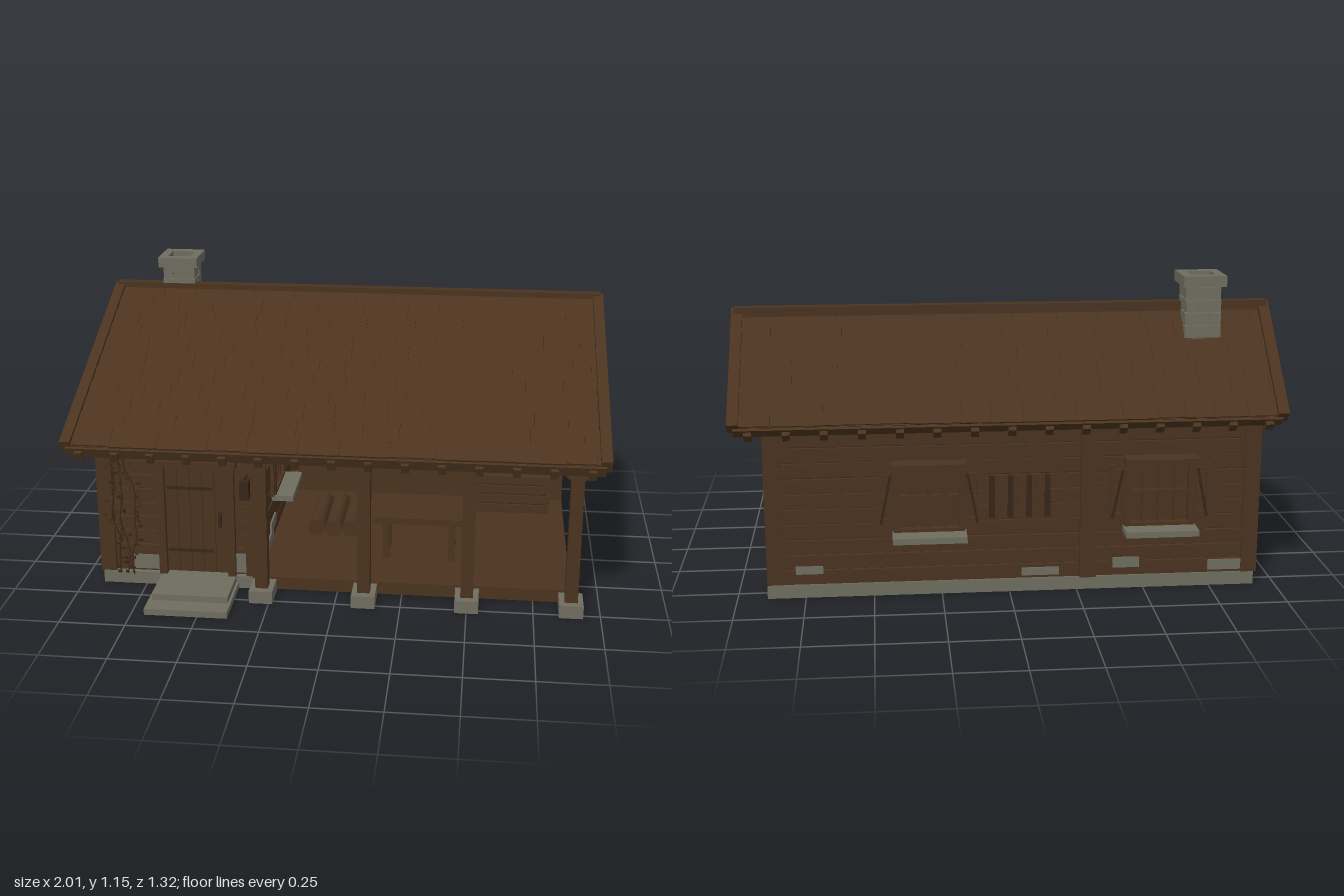
import * as THREE from 'three';

const mat = (name, color) => {
  const m = new THREE.MeshStandardMaterial({ color });
  m.name = name;
  return m;
};
const wood = mat('wood', 0x4b331f);
const dark = mat('darkWood', 0x38261a);
const stone = mat('stone', 0x6f6d5f);

let seed = 7;
const rnd = () => (seed = (seed * 16807) % 2147483647) / 2147483647;

// Box by its min and max corners
function box(parent, name, m, x0, x1, y0, y1, z0, z1) {
  const mesh = new THREE.Mesh(new THREE.BoxGeometry(x1 - x0, y1 - y0, z1 - z0), m);
  mesh.position.set((x0 + x1) / 2, (y0 + y1) / 2, (z0 + z1) / 2);
  mesh.name = name;
  parent.add(mesh);
  return mesh;
}

function group(parent, name, x = 0, y = 0, z = 0, ry = 0) {
  const g = new THREE.Group();
  g.name = name;
  g.position.set(x, y, z);
  g.rotation.y = ry;
  parent.add(g);
  return g;
}

// Plank wall facing local +z, centred on local x; planks leave out each opening [x0, x1, y0, y1]
function plankWall(parent, name, len, x, z, ry, openings = []) {
  const g = group(parent, name, x, 0, z, ry);
  box(g, 'wallCore', dark, -len / 2, len / 2, 0.05, 0.64, -0.03, 0);
  for (let i = 0; i < 10; i++) {
    const y = 0.05 + i * 0.058, out = 0.01 + rnd() * 0.006;
    let from = -len / 2;
    for (const [a, b, lo, hi] of openings) {
      if (y + 0.05 < lo || y > hi) continue;
      box(g, 'plank', wood, from, a, y, y + 0.052, 0, out);
      from = b;
    }
    box(g, 'plank', wood, from, len / 2, y, y + 0.052, 0, out);
  }
  return g;
}

// Window with bars, open shutters, lintel and stone sill, facing local +z
function addWindow(wall, x) {
  const g = group(wall, 'window', x, 0, 0);
  box(g, 'pane', wood, -0.115, 0.115, 0.25, 0.48, 0, 0.004);
  for (const s of [-1, 1]) {
    box(g, 'jamb', wood, s * 0.118 - 0.012, s * 0.118 + 0.012, 0.245, 0.485, 0, 0.03);
    const sh = group(g, 'shutter', s * 0.158, 0, 0.016);
    for (const e of [-1, 1]) box(sh, 'stile', wood, e * 0.02 - 0.006, e * 0.02 + 0.006, 0.26, 0.48, 0, 0.014);
    for (const y of [0.275, 0.36, 0.445]) box(sh, 'rail', wood, -0.026, 0.026, y, y + 0.02, 0, 0.012);
    const brace = box(sh, 'shutterBrace', dark, -0.005, 0.005, 0.275, 0.465, 0.008, 0.016);
    brace.rotation.z = s * 0.2;
  }
  for (const e of [-0.06, 0, 0.06]) box(g, 'bar', wood, e - 0.006, e + 0.006, 0.25, 0.48, 0.004, 0.02);
  box(g, 'crossBar', wood, -0.11, 0.11, 0.37, 0.382, 0.004, 0.022);
  box(g, 'lintel', wood, -0.135, 0.135, 0.485, 0.51, 0, 0.07);
  box(g, 'sillBoard', wood, -0.12, 0.12, 0.245, 0.258, 0, 0.03);
  box(g, 'sill', stone, -0.135, 0.135, 0.222, 0.245, 0, 0.1);
}

// One roof slope: local z runs down from the ridge
function roofSlope(parent, name, drop, run, back, rows, tailStart, tailEnd) {
  const g = group(parent, name, 0, 1.035, -0.3);
  g.rotation.set(Math.atan2(drop, run), back ? Math.PI : 0, 0, 'YXZ');
  const len = Math.hypot(drop, run), step = (len - 0.004) / rows;
  box(g, 'deck', wood, -0.97, 0.97, -0.04, -0.018, 0, len);
  for (let r = 0; r < rows; r++) {
    let x = -0.96;
    while (x < 0.96) {
      const x1 = Math.min(0.96, x + 0.1 + rnd() * 0.1);
      const s = box(g, 'shingle', wood, x, x1 - 0.001, -0.02, -0.009, r * step, (r + 1) * step + rnd() * 0.006);
      s.rotation.x = 0.06 + rnd() * 0.015;
      x = x1;
    }
  }
  for (const s of [-1, 1]) box(g, 'bargeBoard', wood, s * 0.98 - 0.02, s * 0.98 + 0.02, -0.045, 0.003, 0, len);
  for (let i = 0; i < 15; i++) {
    const x = -0.93 + i * 0.133;
    box(g, 'rafterTail', wood, x - 0.014, x + 0.014, -0.068, -0.03, tailStart, tailEnd);
  }
  box(g, 'eaveBoard', wood, -0.98, 0.98, -0.06, -0.02, len - 0.01, len + 0.01);
}

export function createModel() {
  const model = new THREE.Group();
  model.name = 'cabin';

  // Foundation, porch floor and steps
  box(model, 'roomFoundation', stone, -0.92, -0.33, 0, 0.05, -0.56, 0.4);
  box(model, 'backFoundation', stone, -0.33, 0.89, 0, 0.05, -0.56, -0.49);
  box(model, 'porchFloor', wood, -0.33, 0.89, 0.003, 0.053, -0.49, 0.4);
  box(model, 'upperStep', stone, -0.685, -0.395, 0, 0.05, 0.4, 0.585);
  box(model, 'lowerStep', stone, -0.7, -0.385, 0, 0.025, 0.4, 0.66);

  // Walls and windows
  const front = plankWall(model, 'frontWall', 0.58, -0.62, 0.37, 0, [[-0.07, 0.22, 0.05, 0.5]]);
  const back = plankWall(model, 'backWall', 1.78, -0.015, -0.54, Math.PI, [[-0.44, -0.18, 0.25, 0.48], [0.41, 0.67, 0.25, 0.48]]);
  const left = plankWall(model, 'outerSideWall', 0.9, -0.905, -0.08, -Math.PI / 2, [[-0.1, 0.16, 0.25, 0.48]]);
  const inner = plankWall(model, 'porchSideWall', 0.9, -0.32, -0.08, Math.PI / 2, [[-0.12, 0.14, 0.25, 0.48]]);
  addWindow(back, -0.31);
  addWindow(back, 0.54);
  addWindow(left, 0.03);
  addWindow(inner, 0.01);
  for (let i = 0; i < 7; i++) box(back, 'ventSlat', i % 2 ? wood : dark, -0.09 + i * 0.034, -0.07 + i * 0.034, 0.29, 0.45, 0.01, 0.024);
  box(model, 'porchBackPanel', wood, -0.32, 0.87, 0.05, 0.64, -0.51, -0.497);
  for (const y of [0.27, 0.44]) box(model, 'panelRail', dark, -0.25, 0.84, y, y + 0.005, -0.497, -0.492);

  // Corner posts and top plates
  for (const [x, z] of [[-0.9, 0.365], [-0.325, 0.365], [-0.9, -0.53], [-0.29, -0.54], [0.86, -0.525]]) {
    box(model, 'cornerPost', wood, x - 0.03, x + 0.03, 0.05, 0.64, z - 0.032, z + 0.032);
  }
  for (const x of [-0.9, 0.86]) box(model, 'sidePlate', wood, x - 0.03, x + 0.03, 0.615, 0.655, -0.57, 0.39);
  box(model, 'backPlate', wood, -0.92, 0.88, 0.62, 0.655, -0.568, -0.52);
  box(model, 'frontPlate', wood, -0.92, 0.88, 0.62, 0.655, 0.35, 0.388);

  // Attic with both gables and ceiling
  const profile = [[0.37, 0.64], [0.37, 0.71], [-0.3, 0.992], [-0.56, 0.735], [-0.56, 0.64]];
  const attic = new THREE.Mesh(new THREE.ExtrudeGeometry(
    new THREE.Shape(profile.map(p => new THREE.Vector2(...p))), { depth: 1.765, bevelEnabled: false }), wood);
  attic.name = 'attic';
  attic.rotation.y = -Math.PI / 2;
  attic.position.x = 0.87;
  model.add(attic);

  // Roof
  roofSlope(model, 'frontRoof', 0.38, 0.9, false, 11, 0.88, 1.0);
  roofSlope(model, 'backRoof', 0.35, 0.36, true, 6, 0.41, 0.528);
  box(model, 'ridgeCap', wood, -0.99, 0.99, 1.005, 1.04, -0.322, -0.28);

  // Porch posts on stone pads with braces
  box(model, 'porchBeam', wood, -0.92, 0.93, 0.605, 0.65, 0.448, 0.494);
  for (const x of [-0.28, 0.11, 0.5, 0.89]) {
    box(model, 'postPad', stone, x - 0.045, x + 0.045, 0, 0.05, 0.41, 0.525);
    box(model, 'porchPost', wood, x - 0.024, x + 0.024, 0.05, 0.655, 0.447, 0.495);
    for (const s of [-1, 1]) {
      const b = box(model, 'brace', wood, -0.06, 0.06, -0.014, 0.014, 0.458, 0.484);
      b.position.set(x + s * 0.052, 0.58, 0.471);
      b.rotation.z = s * 0.78;
    }
  }

  // Door with frame, planks and lantern
  const door = group(model, 'door', -0.545, 0, 0.372);
  for (let i = 0; i < 5; i++) box(door, 'doorPlank', wood, -0.12 + i * 0.048, -0.074 + i * 0.048, 0.055, 0.495, 0, 0.012);
  for (const s of [-1, 1]) box(door, 'doorJamb', wood, s * 0.135 - 0.015, s * 0.135 + 0.015, 0.05, 0.5, 0, 0.035);
  for (const y of [0.14, 0.4]) box(door, 'hinge', dark, -0.115, 0.06, y, y + 0.012, 0.012, 0.018);
  box(door, 'doorHandle', dark, 0.085, 0.097, 0.25, 0.31, 0.012, 0.024);
  box(door, 'doorLintel', wood, -0.16, 0.16, 0.5, 0.525, 0, 0.05);
  box(model, 'lantern', dark, -0.365, -0.33, 0.39, 0.465, 0.41, 0.45);
  box(model, 'lanternArm', dark, -0.352, -0.342, 0.465, 0.475, 0.38, 0.435);

  // Bare stone patches low on the walls
  for (const [w, x, y, l, h] of [[front, -0.13, 0.06, 0.1, 0.06], [front, 0.24, 0.06, 0.07, 0.08], [inner, -0.25, 0.06, 0.25, 0.04],
    [inner, -0.12, 0.1, 0.12, 0.045], [back, -0.75, 0.09, 0.1, 0.03], [back, 0.1, 0.06, 0.14, 0.03], [back, 0.42, 0.08, 0.1, 0.04],
    [back, 0.8, 0.06, 0.14, 0.04], [left, -0.3, 0.06, 0.16, 0.03], [left, 0.2, 0.07, 0.12, 0.035]]) {
    box(w, 'stonePatch', stone, x - l / 2, x + l / 2, y, y + h, 0.01, 0.019);
  }

  // Climbing vine
  const leaf = new THREE.CircleGeometry(0.013, 4);
  const leafMat = mat('vine', 0x3d2919);
  leafMat.side = THREE.DoubleSide;
  for (let s = 0; s < 3; s++) {
    const pts = [];
    for (let i = 0; i < 8; i++) pts.push(new THREE.Vector3(-0.86 + s * 0.03 + (rnd() - 0.5) * 0.04, 0.05 + i * 0.073, 0.4));
    const curve = new THREE.CatmullRomCurve3(pts);
    const stem = new THREE.Mesh(new THREE.TubeGeometry(curve, 24, 0.003, 5), leafMat);
    stem.name = 'vineStem';
    model.add(stem);
    for (let i = 0; i < 26; i++) {
      const l = new THREE.Mesh(leaf, leafMat);
      l.name = 'vineLeaf';
      l.position.copy(curve.getPoint(i / 26)).add(new THREE.Vector3((rnd() - 0.5) * 0.05, 0, 0.003));
      l.rotation.set(rnd() - 0.5, rnd() - 0.5, rnd() * 3);
      l.scale.y = 0.6;
      model.add(l);
    }
  }

  // Workbench
  const bench = group(model, 'workbench', 0.3, 0, 0.12);
  for (let i = 0; i < 3; i++) box(bench, 'benchTop', wood, -0.175, 0.175, 0.215, 0.24, -0.09 + i * 0.061, -0.031 + i * 0.061);
  for (const x of [-0.13, 0.13]) {
    box(bench, 'benchRail', wood, x - 0.012, x + 0.012, 0.19, 0.215, -0.08, 0.08);
    for (const z of [-0.055, 0.05]) box(bench, 'benchLeg', wood, x - 0.013, x + 0.013, 0.053, 0.215, z - 0.013, z + 0.013);
  }

  // Logs, crate and leaning boards
  for (const x of [-0.13, -0.06, 0.01]) {
    const log = new THREE.Mesh(new THREE.CylinderGeometry(0.036, 0.036, 0.31, 12), wood);
    log.name = 'log';
    log.rotation.x = Math.PI / 2;
    log.position.set(x, 0.09, -0.155);
    model.add(log);
  }
  const crate = group(model, 'crate', 0.67, 0, -0.4);
  box(crate, 'crateCore', dark, -0.15, 0.15, 0.055, 0.2, -0.075, 0.075);
  for (let i = 0; i < 4; i++) box(crate, 'crateSlat', wood, -0.16, 0.16, 0.06 + i * 0.043, 0.095 + i * 0.043, -0.085, 0.085);
  for (let i = 0; i < 4; i++) {
    const b = box(model, 'leaningBoard', wood, -0.015, 0.015, -0.2, 0.2, -0.007, 0.007);
    b.position.set(0.58 + i * 0.05, 0.22 + i * 0.012, -0.455);
    b.rotation.set(-0.15, 0, 0.1 - i * 0.06);
  }

  // Stone chimney with open cap
  const chimney = group(model, 'chimney', -0.73, 0, -0.345);
  box(chimney, 'flue', stone, -0.055, 0.055, 0.85, 1.125, -0.055, 0.055);
  for (let r = 0; r < 5; r++) {
    const y = 0.87 + r * 0.048, c = (r % 2 ? 0.02 : -0.02);
    for (const [a, b] of [[-0.063, c - 0.002], [c + 0.002, 0.063]]) {
      box(chimney, 'block', stone, a, b, y, y + 0.044, -0.064 - rnd() * 0.004, 0.064 + rnd() * 0.004);
      box(chimney, 'block', stone, -0.064 - rnd() * 0.004, 0.064 + rnd() * 0.004, y, y + 0.044, a, b);
    }
  }
  for (const s of [-1, 1]) {
    box(chimney, 'cap', stone, -0.08, 0.08, 1.11, 1.15, s * 0.065 - 0.02, s * 0.065 + 0.02);
    box(chimney, 'cap', stone, s * 0.0625 - 0.0175, s * 0.0625 + 0.0175, 1.11, 1.15, -0.045, 0.045);
  }
  return model;
}
